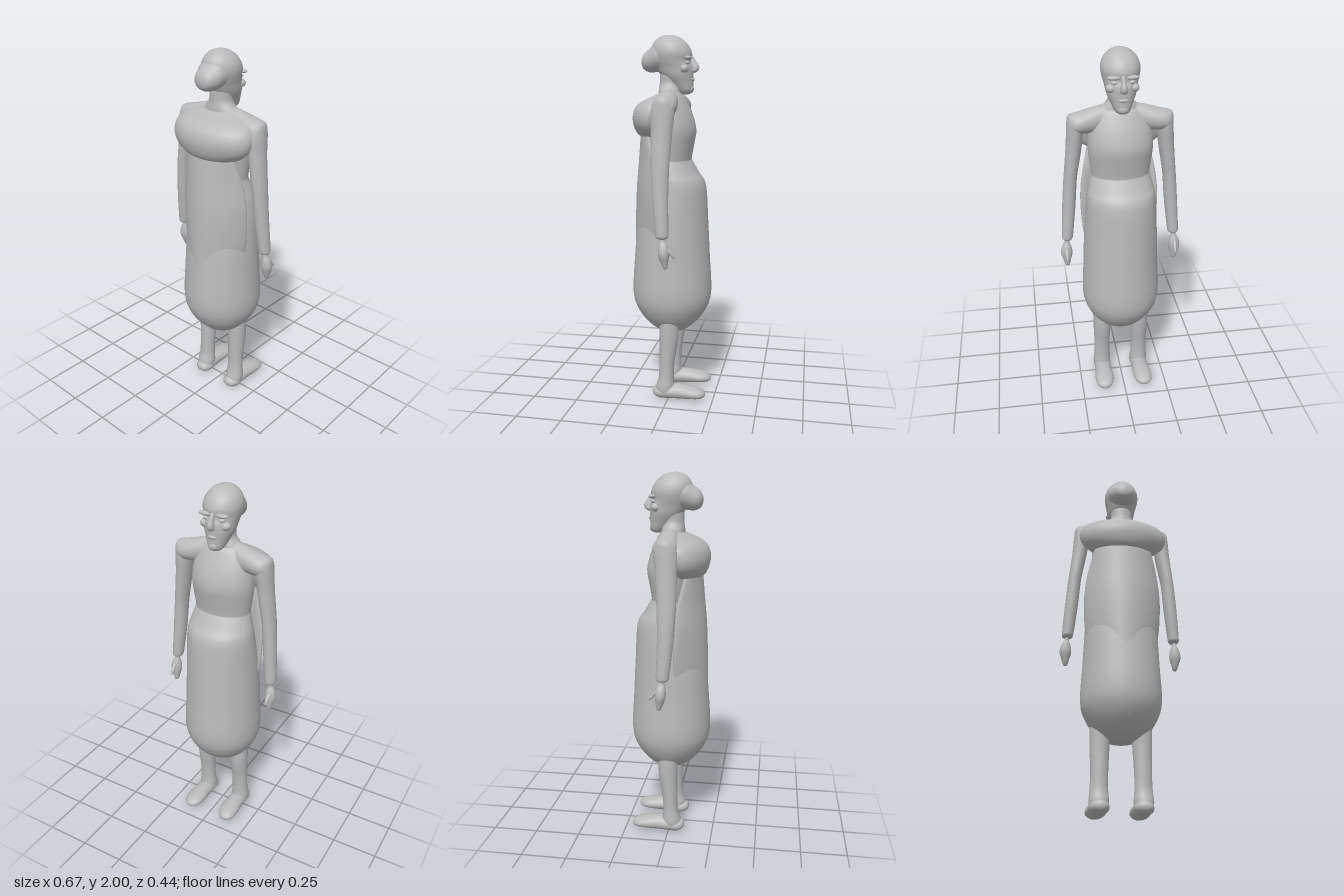
import * as THREE from 'three';

const grey = new THREE.MeshStandardMaterial({ color: 0xbababa });
grey.name = 'plain grey';

// Catmull-Rom value between b and c
const spline = (a, b, c, d, t) =>
  b + 0.5 * t * (c - a + t * (2 * a - 5 * b + 4 * c - d + t * (3 * (b - c) + d - a)));

// Smooth skin over oval cross-sections. Each row: [position along axis, centre u, centre v, radius u, radius v, bend].
// Axis y uses u = x, v = z; axis x uses u = y, v = z; axis z uses u = x, v = y. Bend shifts the sides along v.
function loft(name, axis, input, sides = 32, steps = 4) {
  const rows = input.map(r => [...r, 0].slice(0, 6));
  if (rows[0][0] > rows[rows.length - 1][0]) rows.reverse();
  const rings = [];
  for (let i = 0; i < rows.length - 1; i++) {
    for (let s = 0; s < steps; s++) {
      rings.push(rows[i].map((v, k) => {
        const a = rows[Math.max(i - 1, 0)][k], d = rows[Math.min(i + 2, rows.length - 1)][k];
        const value = spline(a, v, rows[i + 1][k], d, s / steps);
        return k === 3 || k === 4 ? Math.max(value, 0.0005) : value;
      }));
    }
  }
  rings.push(rows[rows.length - 1]);
  const pos = [], index = [];
  rings.forEach(([p, cu, cv, ru, rv, bend], i) => {
    for (let j = 0; j < sides; j++) {
      const a = (j / sides) * Math.PI * 2;
      const c = Math.cos(a), s = axis === 'y' ? -Math.sin(a) : Math.sin(a);
      const u = cu + ru * c, v = cv + rv * s + bend * c * c;
      if (axis === 'y') pos.push(u, p, v);
      else if (axis === 'x') pos.push(p, u, v);
      else pos.push(u, v, p);
      if (i < rings.length - 1) {
        const k = (j + 1) % sides, q = i * sides;
        index.push(q + j, q + k, q + sides + j, q + k, q + sides + k, q + sides + j);
      }
    }
  });
  const g = new THREE.BufferGeometry();
  g.setAttribute('position', new THREE.Float32BufferAttribute(pos, 3));
  g.setIndex(index);
  g.computeVertexNormals();
  const mesh = new THREE.Mesh(g, grey);
  mesh.name = name;
  return mesh;
}

function blob(name, x, y, z, rx, ry, rz) {
  const g = new THREE.SphereGeometry(1, 20, 14).scale(rx, ry, rz).translate(x, y, z);
  const mesh = new THREE.Mesh(g, grey);
  mesh.name = name;
  return mesh;
}

export function createModel() {
  const model = new THREE.Group();
  model.name = 'robedFigure';

  // Long gown, rounded underneath
  model.add(loft('skirt', 'y', [
    [0.377, 0, 0, 0.001, 0.001], [0.38, 0, 0, 0.07, 0.07], [0.42, 0, 0, 0.135, 0.13],
    [0.50, 0, 0, 0.192, 0.192], [0.60, 0, 0, 0.218, 0.22], [0.80, 0, 0, 0.21, 0.21],
    [1.00, 0, -0.005, 0.202, 0.194], [1.20, 0, -0.025, 0.188, 0.16],
    [1.27, 0, -0.015, 0.175, 0.13], [1.34, 0, 0, 0.155, 0.105]], 40));
  model.add(loft('bodice', 'y', [
    [1.28, 0, 0, 0.155, 0.105], [1.34, 0, 0, 0.155, 0.104], [1.42, 0, 0, 0.165, 0.117],
    [1.50, 0, 0, 0.172, 0.129], [1.58, 0, 0, 0.165, 0.11], [1.65, 0, 0, 0.14, 0.08],
    [1.70, 0, 0.005, 0.10, 0.055], [1.72, 0, 0.005, 0.001, 0.001]], 40));

  // Shoulders run from side to side
  model.add(loft('shoulders', 'x', [
    [-0.27, 1.62, 0, 0.02, 0.02], [-0.25, 1.625, 0, 0.048, 0.055], [-0.20, 1.63, 0, 0.058, 0.066],
    [-0.10, 1.645, 0.005, 0.07, 0.055], [0, 1.65, 0.01, 0.075, 0.055], [0.10, 1.645, 0.005, 0.07, 0.055],
    [0.20, 1.63, 0, 0.058, 0.066], [0.25, 1.625, 0, 0.048, 0.055], [0.27, 1.62, 0, 0.02, 0.02]]));

  // Padded mantle and the cape hanging from it
  model.add(loft('mantle', 'y', [
    [1.46, 0, 0.11, 0.13, 0.045, -0.02], [1.48, 0, 0.11, 0.185, 0.075, -0.03],
    [1.52, 0, 0.11, 0.232, 0.093, -0.03], [1.57, 0, 0.105, 0.25, 0.105, -0.03],
    [1.62, 0, 0.095, 0.242, 0.1, -0.03], [1.655, 0, 0.07, 0.21, 0.085, -0.02],
    [1.68, 0, 0.04, 0.15, 0.06, -0.01], [1.70, 0, 0.03, 0.08, 0.035]], 40));
  model.add(loft('cape', 'y', [
    [1.52, 0, 0.13, 0.155, 0.035, -0.03], [1.45, 0, 0.13, 0.17, 0.042, -0.04],
    [1.33, 0, 0.138, 0.198, 0.045, -0.075], [1.20, 0, 0.143, 0.213, 0.052, -0.09],
    [1.05, 0, 0.15, 0.21, 0.052, -0.105], [0.90, 0, 0.153, 0.19, 0.052, -0.11],
    [0.72, 0, 0.15, 0.15, 0.055, -0.09], [0.55, 0, 0.13, 0.10, 0.05, -0.05]], 40));

  // Neck, skull and hair knot
  model.add(loft('neck', 'y', [
    [1.66, 0, 0.01, 0.13, 0.065], [1.71, 0, 0.01, 0.09, 0.062], [1.745, 0, 0.01, 0.064, 0.058],
    [1.80, 0, 0.005, 0.064, 0.062], [1.84, 0, 0, 0.06, 0.06]]));
  model.add(loft('head', 'y', [
    [1.688, 0, -0.07, 0.001, 0.001], [1.693, 0, -0.069, 0.024, 0.028], [1.71, 0, -0.062, 0.042, 0.049],
    [1.75, 0, -0.042, 0.06, 0.071], [1.79, 0, -0.026, 0.077, 0.088], [1.83, 0, -0.013, 0.085, 0.1],
    [1.86, 0, -0.002, 0.093, 0.1], [1.90, 0, 0.004, 0.1, 0.11], [1.94, 0, 0.01, 0.092, 0.1],
    [1.975, 0, 0.015, 0.066, 0.073], [1.994, 0, 0.018, 0.033, 0.038], [2, 0, 0.02, 0.001, 0.001]]));
  model.add(loft('hairKnot', 'z', [
    [0.03, 0, 1.89, 0.085, 0.08], [0.08, 0, 1.885, 0.082, 0.077], [0.12, 0, 1.868, 0.068, 0.063],
    [0.15, 0, 1.862, 0.05, 0.045], [0.163, 0, 1.86, 0.026, 0.024], [0.167, 0, 1.86, 0.001, 0.001]], 24));

  // Face
  model.add(loft('nose', 'y', [
    [1.80, 0, -0.11, 0.003, 0.004], [1.81, 0, -0.116, 0.018, 0.02], [1.832, 0, -0.118, 0.017, 0.028],
    [1.86, 0, -0.108, 0.012, 0.022], [1.89, 0, -0.098, 0.01, 0.012]], 12));
  model.add(blob('lips', 0, 1.768, -0.108, 0.027, 0.01, 0.012));
  model.add(blob('chin', 0, 1.718, -0.1, 0.026, 0.022, 0.016));

  for (const side of [1, -1]) {
    const label = side > 0 ? 'left' : 'right';
    const part = (name, axis, rows, sides = 20) =>
      model.add(loft(label + name, axis, rows.map(([p, u, ...rest]) => [p, u * side, ...rest]), sides));

    // Brow, eye and cheekbone
    model.add(blob(label + 'Brow', side * 0.045, 1.878, -0.092, 0.036, 0.011, 0.02));
    model.add(blob(label + 'Eye', side * 0.042, 1.853, -0.087, 0.018, 0.01, 0.014));
    model.add(blob(label + 'Cheek', side * 0.057, 1.822, -0.074, 0.027, 0.022, 0.025));

    part('Arm', 'y', [
      [1.678, 0.235, 0, 0.002, 0.002], [1.665, 0.237, 0, 0.033, 0.04], [1.61, 0.235, 0.004, 0.043, 0.062],
      [1.50, 0.243, 0.008, 0.042, 0.056], [1.36, 0.262, 0.012, 0.037, 0.051],
      [1.30, 0.269, 0.012, 0.036, 0.048], [1.15, 0.281, 0.008, 0.036, 0.042],
      [1.00, 0.294, -0.002, 0.032, 0.036], [0.965, 0.297, -0.004, 0.028, 0.032],
      [0.955, 0.298, -0.006, 0.012, 0.014]]);
    part('Hand', 'y', [
      [0.975, 0.298, -0.006, 0.012, 0.014], [0.945, 0.3, -0.008, 0.013, 0.016],
      [0.915, 0.303, -0.012, 0.026, 0.026], [0.875, 0.304, -0.014, 0.032, 0.028],
      [0.835, 0.303, -0.018, 0.021, 0.02], [0.805, 0.302, -0.022, 0.012, 0.011],
      [0.797, 0.302, -0.022, 0.001, 0.001]], 14);
    part('Thumb', 'y', [
      [0.925, 0.305, -0.015, 0.01, 0.01], [0.90, 0.305, -0.036, 0.012, 0.014],
      [0.88, 0.304, -0.053, 0.01, 0.012], [0.862, 0.303, -0.067, 0.007, 0.008],
      [0.855, 0.303, -0.073, 0.001, 0.001]], 10);

    part('Leg', 'y', [
      [0.50, 0.108, -0.002, 0.055, 0.058], [0.36, 0.111, -0.003, 0.052, 0.053],
      [0.22, 0.112, 0.008, 0.046, 0.043], [0.13, 0.113, 0.012, 0.047, 0.042],
      [0.07, 0.113, 0.018, 0.052, 0.052], [0.03, 0.113, 0.02, 0.045, 0.05]]);
    part('Foot', 'z', [
      [0.09, 0.11, 0.04, 0.002, 0.002], [0.082, 0.11, 0.04, 0.03, 0.022], [0.05, 0.111, 0.038, 0.049, 0.036],
      [0, 0.112, 0.043, 0.05, 0.041], [-0.06, 0.113, 0.046, 0.05, 0.041], [-0.12, 0.115, 0.046, 0.055, 0.036],
      [-0.17, 0.117, 0.043, 0.049, 0.029], [-0.2, 0.118, 0.04, 0.029, 0.018],
      [-0.21, 0.118, 0.039, 0.002, 0.002]]);
  }
  return model;
}
